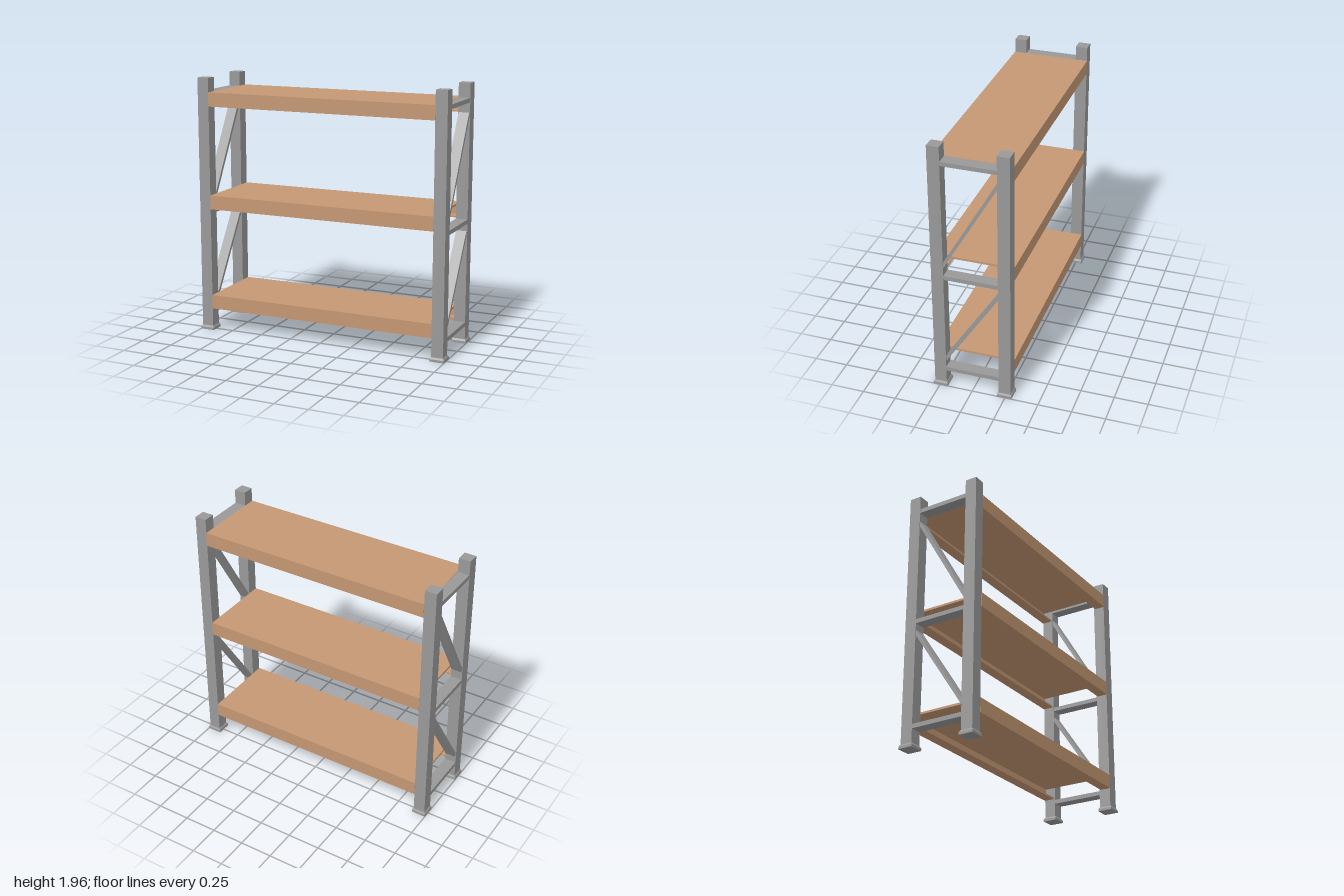
import * as THREE from 'three';

export function createModel() {
  const model = new THREE.Group();
  model.name = 'shelvingUnit';
  const steel = new THREE.MeshStandardMaterial({ color: 0x999999 });
  steel.name = 'grey steel';
  const wood = new THREE.MeshStandardMaterial({ color: 0xc49773 });
  wood.name = 'tan shelf';

  const add = (name, geometry, material, x, y, z, parent = model) => {
    const mesh = new THREE.Mesh(geometry, material);
    mesh.name = name;
    mesh.position.set(x, y, z);
    parent.add(mesh);
    return mesh;
  };
  const box = (w, h, d) => new THREE.BoxGeometry(w, h, d);

  // Square frustum for the sloping top of each foot
  const taper = new THREE.CylinderGeometry(0.094 / Math.SQRT2, 0.11 / Math.SQRT2, 0.014, 4)
    .rotateY(Math.PI / 4).toNonIndexed();
  taper.computeVertexNormals();

  // End frames: posts, feet, rungs and diagonals
  for (const side of [-1, 1]) {
    const frame = new THREE.Group();
    frame.name = side > 0 ? 'leftFrame' : 'rightFrame';
    frame.position.x = side * 0.945;
    model.add(frame);

    for (const end of [-1, 1]) {
      const z = end * 0.245;
      add('post', box(0.09, 1.93, 0.09), steel, 0, 0.995, z, frame);
      add('footBase', box(0.11, 0.018, 0.11), steel, 0, 0.009, z, frame);
      add('footTaper', taper, steel, 0, 0.025, z, frame);
    }
    for (const y of [0.149, 0.938, 1.836])
      add('rung', box(0.088, 0.032, 0.4), steel, 0, y, 0, frame);

    // Each diagonal climbs from the front post to the back post
    for (const [low, high] of [[0.23, 0.86], [1.03, 1.74]]) {
      const rise = high - low, run = 0.41;
      const brace = add('diagonalBrace', box(0.08, 0.024, Math.hypot(rise, run)), steel,
        0, (low + high) / 2, 0, frame);
      brace.rotation.x = Math.atan2(rise, run);
    }
  }

  // Channel section open towards the middle: z outward, y up
  const section = new THREE.Shape([
    [0.292, 0], [0.292, 0.107], [0.282, 0.107], [0.282, 0.012], [0.21, 0.012], [0.21, 0],
  ].map(([z, y]) => new THREE.Vector2(z, y)));
  const beam = new THREE.ExtrudeGeometry(section, { depth: 1.8, bevelEnabled: false });
  beam.translate(0, 0, -0.9).rotateY(-Math.PI / 2);

  // Shelves: a thin panel between two beams
  [0.28, 1.066, 1.853].forEach((top, i) => {
    const shelf = new THREE.Group();
    shelf.name = 'shelf' + (i + 1);
    shelf.position.y = top;
    model.add(shelf);
    add('panel', box(1.8, 0.016, 0.564), wood, 0, -0.008, 0, shelf);
    add('frontBeam', beam, wood, 0, -0.107, 0, shelf);
    add('backBeam', beam, wood, 0, -0.107, 0, shelf).rotation.y = Math.PI;
  });

  return model;
}
